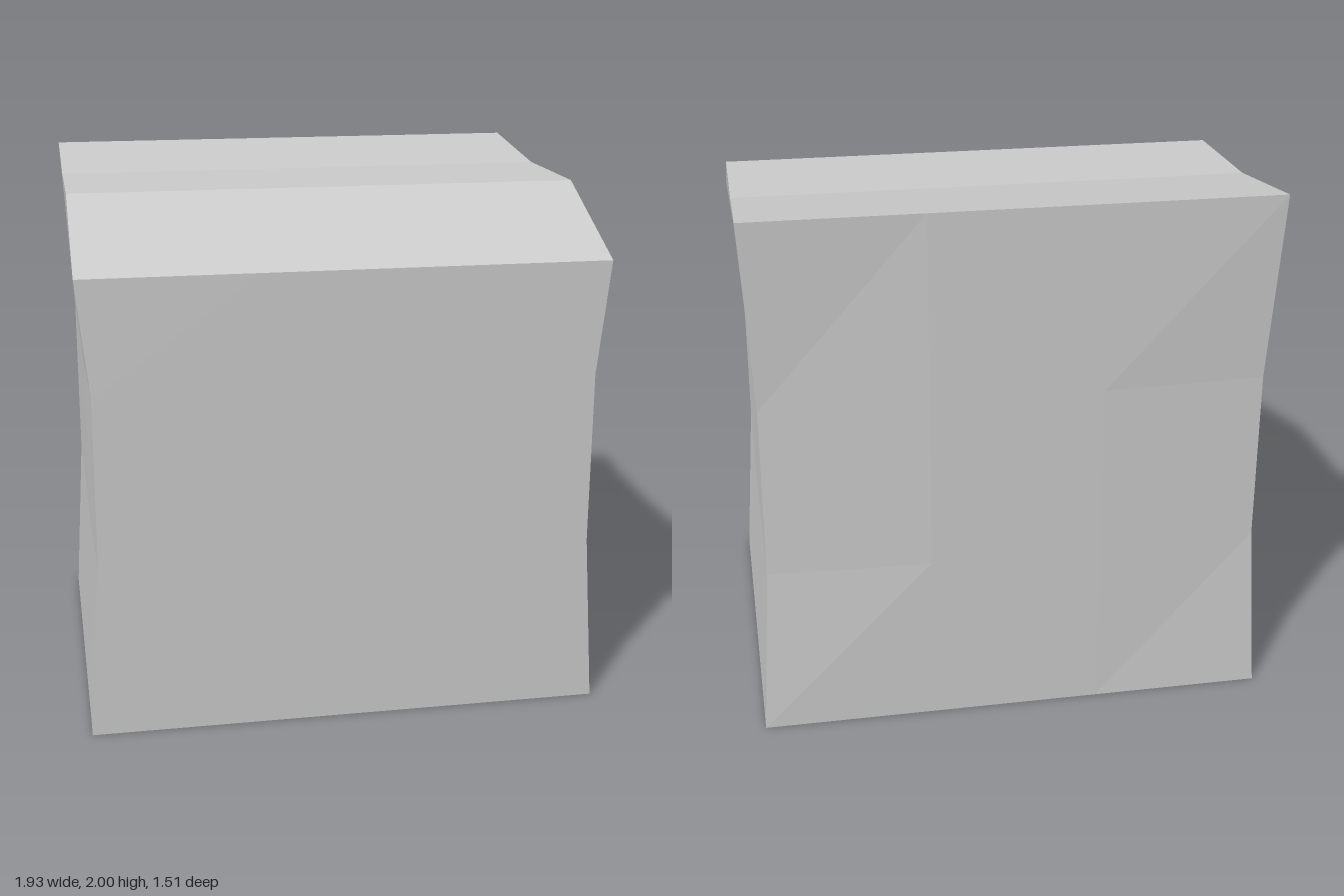
import * as THREE from 'three';

// Grid positions, indexed 0..3 along each axis
const COLS = [-0.965, -0.32, 0.32, 0.965];
const DEPTHS = [-0.755, -0.25, 0.255, 0.755];
const TOP = [2.0, 1.94, 1.94, 1.725]; // top profile, back to front
const ROWS = [0, 0.65, 1.3];

export function createModel() {
  const group = new THREE.Group();
  group.name = 'block';

  // A box of 3 x 3 x 3 cells, reshaped cell corner by cell corner
  const geometry = new THREE.BoxGeometry(3, 3, 3, 3, 3, 3);
  const pos = geometry.attributes.position;
  for (let n = 0; n < pos.count; n++) {
    const i = Math.round(pos.getX(n) + 1.5);
    const j = Math.round(pos.getY(n) + 1.5);
    const k = Math.round(pos.getZ(n) + 1.5);
    let x = COLS[i];
    let z = DEPTHS[k];
    const y = j === 3 ? TOP[k] : ROWS[j];
    const side = i === 0 || i === 3;
    if (side && (j === 1 || j === 2)) {
      // pinched waist, a touch deeper on the front edges
      x = Math.sign(x) * (k === 3 ? 0.92 : 0.926);
      // back corner edges tuck in slightly
      if (k === 0) z = -0.73;
    }
    pos.setXYZ(n, x, y, z);
  }
  geometry.computeVertexNormals();

  const body = new THREE.Mesh(
    geometry,
    new THREE.MeshStandardMaterial({ color: 0xcccccc, flatShading: true })
  );
  body.name = 'body';
  group.add(body);
  return group;
}
